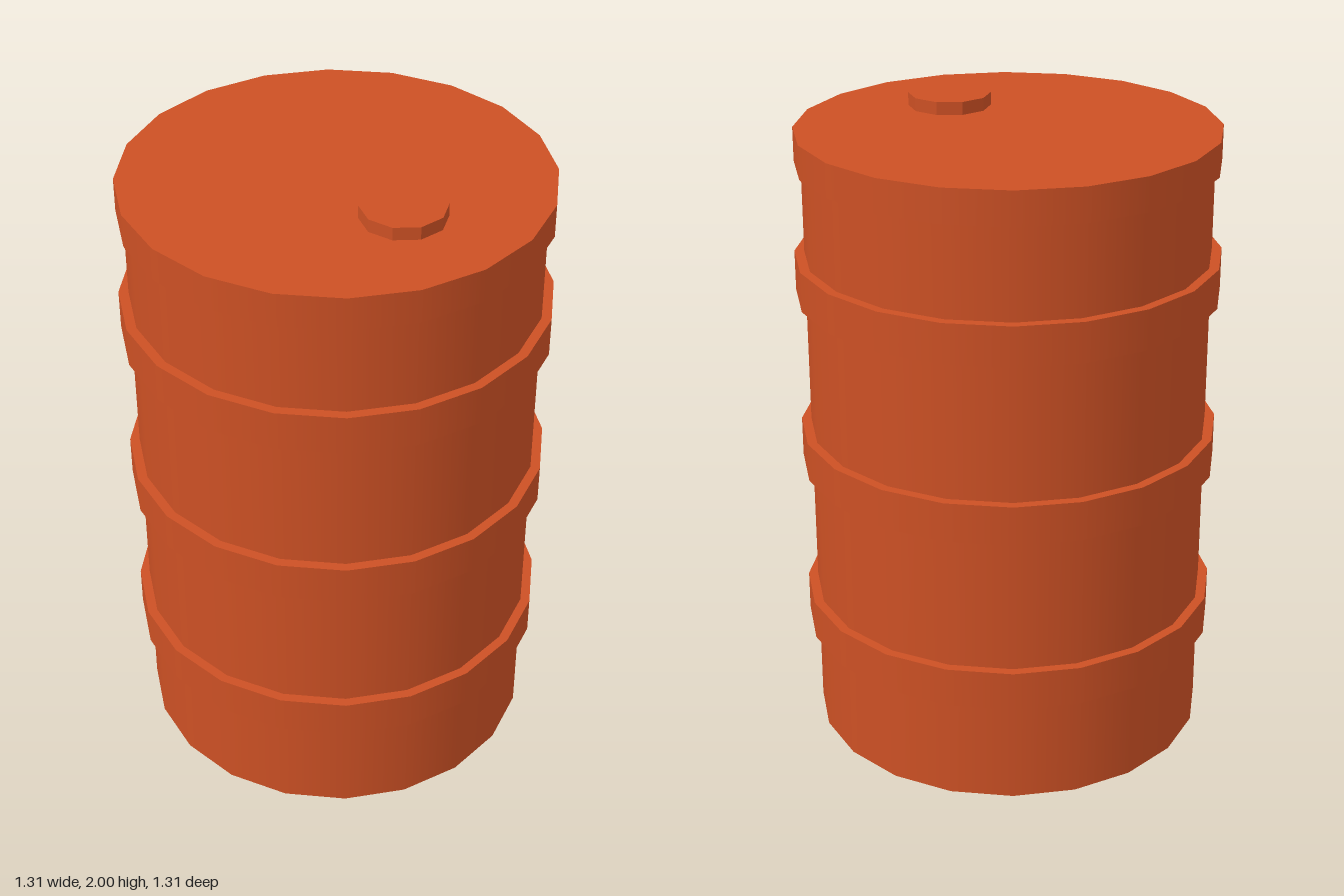
import * as THREE from 'three';

export function createModel() {
  const group = new THREE.Group();
  const paint = new THREE.MeshStandardMaterial({ color: 0xcc5024 });
  paint.name = 'rustOrangePaint';

  // Upright cylinder spanning bottom..top
  function drum(name, radius, bottom, top, sides = 20, x = 0) {
    let geometry = new THREE.CylinderGeometry(radius, radius, top - bottom, sides);
    if (sides < 12) { // faceted sides on small parts
      geometry = geometry.toNonIndexed();
      geometry.computeVertexNormals();
    }
    const mesh = new THREE.Mesh(geometry, paint);
    mesh.name = name;
    mesh.position.set(x, (bottom + top) / 2, 0);
    group.add(mesh);
  }

  drum('barrelBody', 0.625, 0, 1.9);
  drum('lid', 0.645, 1.855, 1.96);

  // Three raised hoops
  [['lowerHoop', 0.33], ['middleHoop', 0.887], ['upperHoop', 1.446]].forEach(
    ([name, y]) => drum(name, 0.655, y, y + 0.125));

  // Off-centre filler cap
  drum('fillerCap', 0.128, 1.94, 2, 10, 0.3);

  group.name = 'barrel';
  return group;
}
